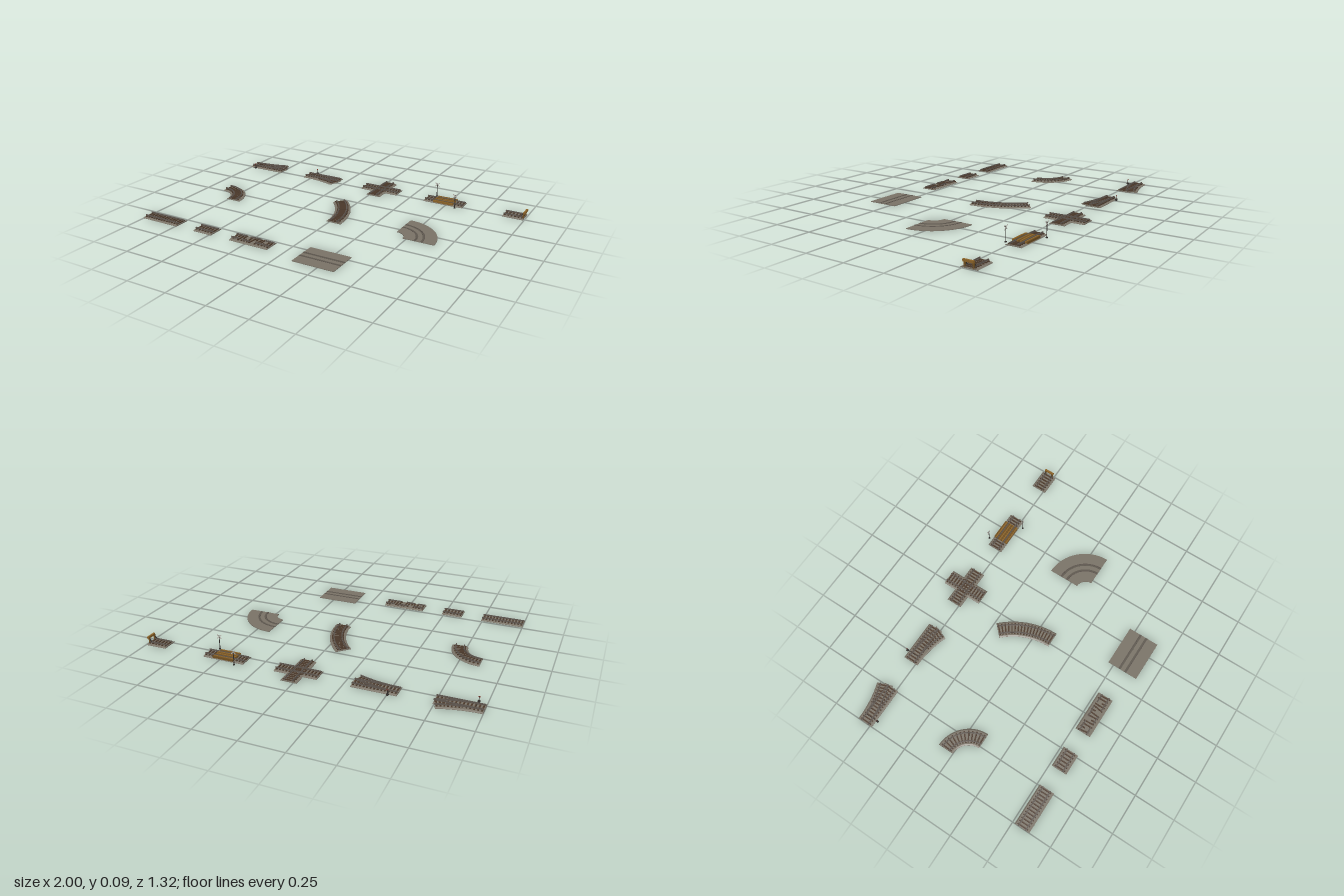
import * as THREE from 'three';

const mat = (color) => new THREE.MeshStandardMaterial({ color, flatShading: true, side: THREE.DoubleSide });
const M = {
  ballast: mat(0x7b7468), tie: mat(0x4e3b2c), rail: mat(0x5c544d), groove: mat(0x605a50),
  plank: mat(0x8c6429), plankDark: mat(0x72501f), iron: mat(0x34312e), white: mat(0xb8b4ac), red: mat(0x7a2a20),
};
const GAUGE = 0.024, TIE_STEP = 0.0198;

// Plan path of constant curvature k: start x, z, heading h and length
function path(x, z, h, len, k = 0) {
  const at = (d) => {
    const a = h + k * d;
    if (!k) return [x + Math.cos(h) * d, z + Math.sin(h) * d, a];
    return [x + (Math.sin(a) - Math.sin(h)) / k, z - (Math.cos(a) - Math.cos(h)) / k, a];
  };
  return { at, len, steps: k ? Math.max(8, Math.ceil(Math.abs(k * len) * 10)) : 1 };
}

// Sweep a closed (side, y) profile along a path
function sweep(name, p, profile, material, from = 0, to = p.len, lift = 0) {
  const pos = [], rings = [];
  for (let i = 0; i <= p.steps; i++) {
    const [x, z, a] = p.at(from + (to - from) * i / p.steps);
    rings.push(profile.map(([s, y]) => [x - Math.sin(a) * s, y + lift, z + Math.cos(a) * s]));
  }
  const n = profile.length;
  for (let i = 0; i < p.steps; i++) for (let j = 0; j < n; j++) {
    const k = (j + 1) % n, A = rings[i], B = rings[i + 1];
    pos.push(...A[j], ...B[k], ...A[k], ...A[j], ...B[j], ...B[k]);
  }
  const caps = THREE.ShapeUtils.triangulateShape(profile.map(([s, y]) => new THREE.Vector2(s, y)), []);
  const last = rings[p.steps];
  for (const [a, b, c] of caps) pos.push(...rings[0][a], ...rings[0][b], ...rings[0][c], ...last[a], ...last[c], ...last[b]);
  const g = new THREE.BufferGeometry();
  g.setAttribute('position', new THREE.Float32BufferAttribute(pos, 3));
  g.computeVertexNormals();
  const m = new THREE.Mesh(g, material);
  m.name = name;
  return m;
}

const slab = (s0, s1, y0, y1) => [[s0, y0], [s1, y0], [s1, y1], [s0, y1]];
const ballastProfile = [[-0.0485, 0], [0.0485, 0], [0.0485, 0.002], [0.041, 0.006], [-0.041, 0.006], [-0.0485, 0.002]];
const railProfile = (c) => [[-0.004, 0.0105], [0.004, 0.0105], [0.004, 0.012], [0.001, 0.0125], [0.001, 0.0145],
  [0.0025, 0.015], [0.0025, 0.0175], [-0.0025, 0.0175], [-0.0025, 0.015], [-0.001, 0.0145], [-0.001, 0.0125], [-0.004, 0.012]]
  .map(([s, y]) => [s + c, y]);

function box(name, w, h, d, x, y, z, material, rotY = 0, rotZ = 0) {
  const m = new THREE.Mesh(new THREE.BoxGeometry(w, h, d), material);
  m.name = name;
  m.position.set(x, y, z);
  m.rotation.set(0, rotY, rotZ);
  return m;
}

function group(name, ...parts) {
  const g = new THREE.Group();
  g.name = name;
  if (parts.length) g.add(...parts);
  return g;
}

// Sleepers laid across a path
function ties(p, lift = 0, from = 0) {
  const g = group('ties'), n = Math.round(p.len / TIE_STEP);
  for (let i = 0; i < n; i++) {
    const d = (i + 0.5) * p.len / n;
    if (d < from) continue;
    const [x, z, a] = p.at(d);
    g.add(box('tie', 0.008, 0.006, 0.07, x, 0.008 + lift, z, M.tie, -a));
  }
  return g;
}

// Ballasted track: bed, ties and two rails
function track(name, p, lift = 0, tiesFrom = 0) {
  const g = group(name, sweep('ballast', p, ballastProfile, M.ballast, 0, p.len, lift), ties(p, lift, tiesFrom));
  for (const s of [-1, 1]) g.add(sweep('rail', p, railProfile(s * GAUGE), M.rail, 0, p.len, lift));
  return g;
}

// Street track: flat paving with flush rails beside dark flangeways
function pavedTrack(name, p) {
  const g = group(name, sweep('paving', p, slab(-0.096, 0.096, 0, 0.004), M.ballast));
  for (const s of [-1, 1]) {
    const band = (n, c, w, y, m) => g.add(sweep(n, p, slab(s * c - w / 2, s * c + w / 2, 0.003, y), m));
    band('flangeway', 0.017, 0.009, 0.0045, M.groove);
    band('rail', GAUGE, 0.005, 0.0055, M.rail);
  }
  return g;
}

// Lever stand with throw bar; side points away from the track
function switchStand(x, z, side) {
  return group('switchStand',
    box('standBase', 0.012, 0.008, 0.012, x, 0.006, z, M.iron),
    box('standPost', 0.003, 0.026, 0.003, x, 0.02, z, M.iron),
    box('standTarget', 0.009, 0.006, 0.002, x, 0.033, z, M.red),
    box('throwBar', 0.003, 0.002, 0.08, x, 0.011, z - side * 0.04, M.iron));
}

// Turnout: straight route with a branch curving to one side
function turnout(name, x, side, standX) {
  const z = -0.535, R = 0.73;
  const branch = path(x, z, 0, R * 0.349, side / R);
  return group(name, track('mainRoute', path(x, z, 0, 0.257)), track('branchRoute', branch, 0.0004, 0.12),
    switchStand(standX, z - side * 0.058, -side));
}

// Crossing sign: post with crossed boards
function crossingSign(x, z) {
  const post = new THREE.Mesh(new THREE.CylinderGeometry(0.002, 0.0025, 0.088, 6), M.iron);
  post.name = 'signPost';
  post.position.set(x, 0.044, z);
  const g = group('crossingSign', post, box('signFoot', 0.009, 0.006, 0.009, x, 0.003, z, M.iron));
  for (const s of [-1, 1]) g.add(box('signBoard', 0.036, 0.005, 0.002, x, 0.08, z + s * 0.0012, M.white, 0, s * 0.7));
  return g;
}

function levelCrossing() {
  const z = -0.535;
  const g = group('levelCrossing', track('track', path(0.35, z, 0, 0.257)));
  // Planks between and outside the rails
  const deck = group('deck');
  [-0.0425, -0.0335, -0.0145, -0.005, 0.005, 0.0145, 0.0335, 0.0425].forEach((s, i) =>
    deck.add(box('plank', 0.13, 0.012, 0.0085, 0.48, 0.0105, z + s, i % 2 ? M.plank : M.plankDark)));
  g.add(deck, crossingSign(0.393, -0.605), crossingSign(0.568, -0.465));
  return g;
}

// Dead end: short track with a timber buffer
function deadEnd() {
  const z = -0.535, g = group('deadEnd', track('track', path(0.866, z, 0, 0.127)));
  for (const s of [-1, 1]) {
    g.add(box('bufferPost', 0.008, 0.036, 0.008, 0.989, 0.023, z + s * GAUGE, M.plankDark));
    g.add(box('bufferBrace', 0.026, 0.005, 0.005, 0.979, 0.021, z + s * GAUGE, M.iron, 0, 0.9));
  }
  g.add(box('bufferBeam', 0.012, 0.012, 0.062, 0.994, 0.039, z, M.plank));
  return g;
}

// Broken track: skewed and snapped ties, rails in pieces
function brokenTrack() {
  const z = 0.562, p = path(-0.357, z, 0, 0.257);
  const g = group('brokenTrack', sweep('ballast', p, ballastProfile, M.ballast));
  let seed = 7;
  const rnd = () => (seed = (seed * 16807) % 2147483647) / 2147483647;
  for (let i = 0; i < 13; i++) {
    const short = i % 3 === 1, len = short ? 0.03 : 0.066;
    const side = short ? (rnd() < 0.5 ? -0.018 : 0.018) : (rnd() - 0.5) * 0.006;
    g.add(box('tie', 0.008, 0.006, len, -0.347 + i * TIE_STEP, 0.008, z + side, M.tie, (rnd() - 0.5) * 0.35));
  }
  const pieces = { '-1': [[0, 0.07], [0.1, 0.17], [0.2, 0.257]], '1': [[0, 0.05], [0.075, 0.13], [0.165, 0.257]] };
  for (const s of [-1, 1]) pieces[s].forEach(([a, b], i) => {
    const bent = path(-0.357 + a, z, i === 1 ? s * 0.06 : 0, b - a);
    g.add(sweep('railPiece', bent, railProfile(s * GAUGE), M.rail));
  });
  return g;
}

export function createModel() {
  const model = group('trackSet');
  const q = Math.PI / 2;
  model.add(
    // Back row
    turnout('leftTurnout', -1, -1, -0.955),
    turnout('rightTurnout', -0.551, 1, -0.505),
    group('crossing', track('mainRoute', path(-0.1, -0.535, 0, 0.257)),
      track('crossRoute', path(0.0285, -0.406, -q, 0.257), 0.0004)),
    levelCrossing(),
    deadEnd(),
    // Middle row
    track('tightCurve', path(-0.87, -0.05, 0, q * 0.157, 1 / 0.157)),
    track('wideCurve', path(0.0285, 0.107, -q, q / 2 * 0.4435, -1 / 0.4435)),
    pavedTrack('pavedCurve', path(0.415, -0.053, 0, q * 0.16, 1 / 0.16)),
    // Front row
    track('longStraight', path(-1, 0.562, 0, 0.257)),
    track('shortStraight', path(-0.615, 0.562, 0, 0.128)),
    brokenTrack(),
    pavedTrack('pavedStraight', path(0.093, 0.562, 0, 0.256)),
  );
  return model;
}
